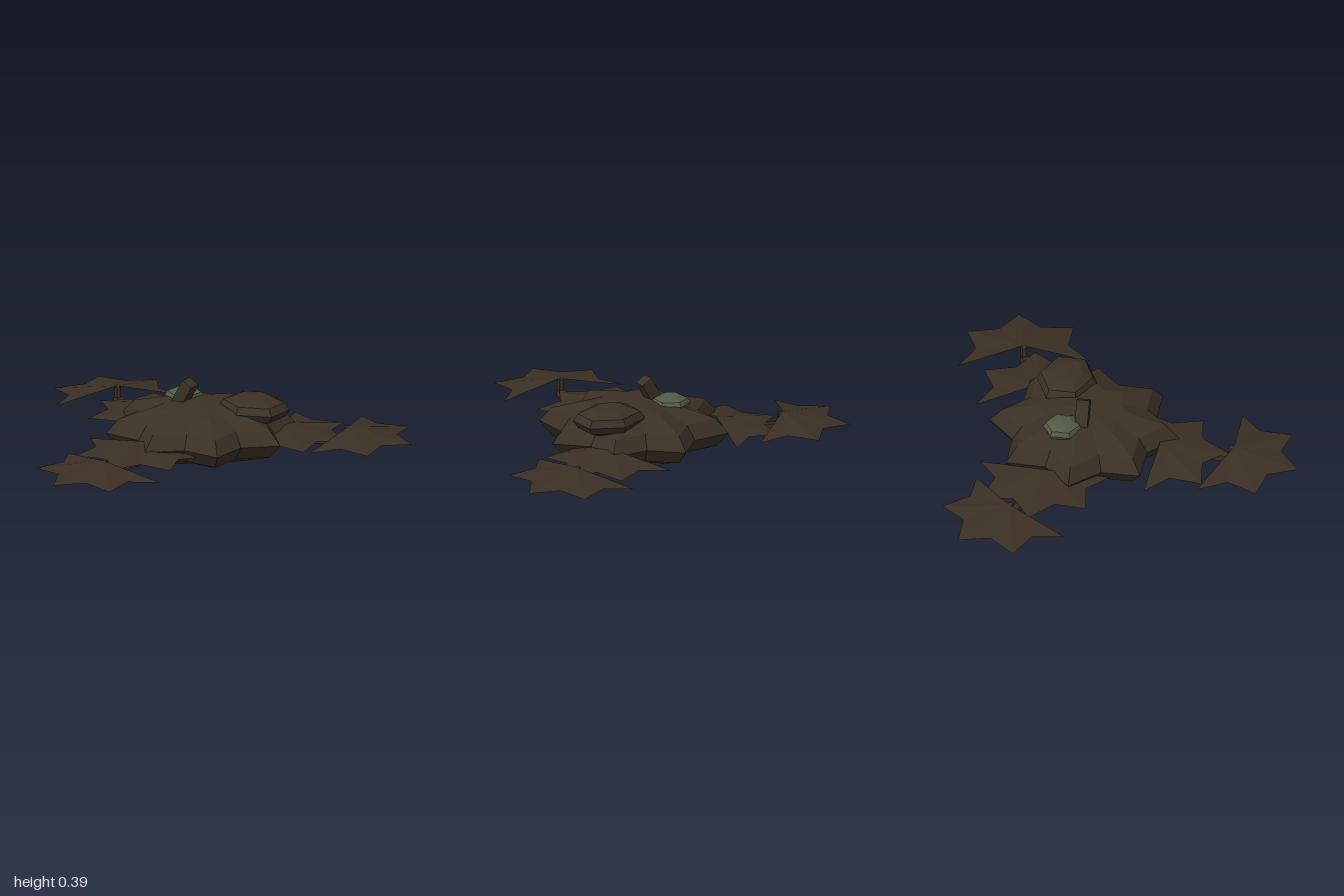
import * as THREE from 'three';

const mat = (name, color, side = THREE.FrontSide) =>
  Object.assign(new THREE.MeshStandardMaterial({ color, flatShading: true, side }), { name });

// Five-lobed drooping leaf: ridge along each lobe, open slit behind the base
function leafGeometry() {
  const step = (Math.PI * 2) / 7, rim = [];
  for (let i = -4; i <= 4; i++) {
    const tip = i % 2 === 0, a = (i / 2) * step, r = tip ? 0.34 : 0.238;
    rim.push([Math.sin(a) * r, tip ? -0.055 : -0.047, Math.cos(a) * r]);
  }
  const pos = [];
  for (let i = 0; i < rim.length - 1; i++) pos.push(0, 0, 0, ...rim[i], ...rim[i + 1]);
  const g = new THREE.BufferGeometry();
  g.setAttribute('position', new THREE.Float32BufferAttribute(pos, 3));
  g.computeVertexNormals();
  return g;
}

// Squashed sphere whose outline is an eight-pointed star
function starGeometry() {
  const g = new THREE.SphereGeometry(1, 16, 6), p = g.attributes.position;
  for (let i = 0; i < p.count; i++) {
    const k = Math.round(Math.atan2(p.getZ(i), p.getX(i)) / (Math.PI / 8));
    const s = k % 2 ? 0.77 : 1;
    p.setX(i, p.getX(i) * s);
    p.setZ(i, p.getZ(i) * s);
  }
  g.scale(0.485, 0.143, 0.48);
  g.computeVertexNormals();
  return g;
}

// Six-sided faceted lump with points along z
function lumpGeometry(rx, ry, rz) {
  return new THREE.SphereGeometry(1, 6, 6).rotateY(Math.PI / 2).scale(rx, ry, rz);
}

export function createModel() {
  const group = new THREE.Group();
  const bark = mat('dark brown', 0x3b3025);
  const leafBrown = mat('leaf brown', 0x3b2f24, THREE.DoubleSide);
  const twigBrown = mat('twig brown', 0x3f2e23);
  const moss = mat('moss green', 0x515b44);

  const add = (name, geometry, material, x, y, z) => {
    const m = new THREE.Mesh(geometry, material);
    m.name = name;
    m.position.set(x, y, z);
    group.add(m);
    return m;
  };

  // Central body and the things growing on it
  add('body', starGeometry(), bark, 0.05, 0.143, -0.175);
  add('roundLump', lumpGeometry(0.19, 0.073, 0.153), bark, 0.28, 0.263, -0.303);
  add('greenLump', lumpGeometry(0.1, 0.045, 0.098), moss, -0.115, 0.265, -0.257);
  add('stub', new THREE.BoxGeometry(0.062, 0.2, 0.065), bark, -0.063, 0.287, -0.167)
    .rotation.z = -Math.PI / 6;

  // Each arm: x, z and heading of the inner and outer leaf
  const arms = [
    { name: 'front', inner: [-0.03, 0.22, 8.6], outer: [0, 0.59, -10.5] },
    { name: 'right', inner: [-0.345, -0.32, 268], outer: [-0.665, -0.435, 231] },
    { name: 'left', inner: [0.36, -0.45, 104], outer: [0.66, -0.59, 103] },
  ];
  const leaf = leafGeometry();
  for (const { name, inner, outer } of arms) {
    for (const [part, [x, z, deg]] of [['InnerLeaf', inner], ['OuterLeaf', outer]]) {
      add(name + part, leaf, leafBrown, x, 0.165, z).rotation.y = THREE.MathUtils.degToRad(deg);
    }
    // Twig from the body to the outer leaf, with a post holding the leaf
    const [x, z] = outer, dx = x - 0.05, dz = z + 0.175;
    const length = Math.hypot(dx, dz);
    add(name + 'Twig', new THREE.BoxGeometry(0.032, 0.032, length * 0.6), twigBrown,
      x - dx * 0.3, 0.093, z - dz * 0.3).rotation.y = Math.atan2(dx, dz);
    add(name + 'Post', new THREE.BoxGeometry(0.024, 0.075, 0.024), twigBrown,
      x - dx * 0.016, 0.125, z - dz * 0.016).rotation.y = Math.atan2(dx, dz);
  }
  return group;
}
